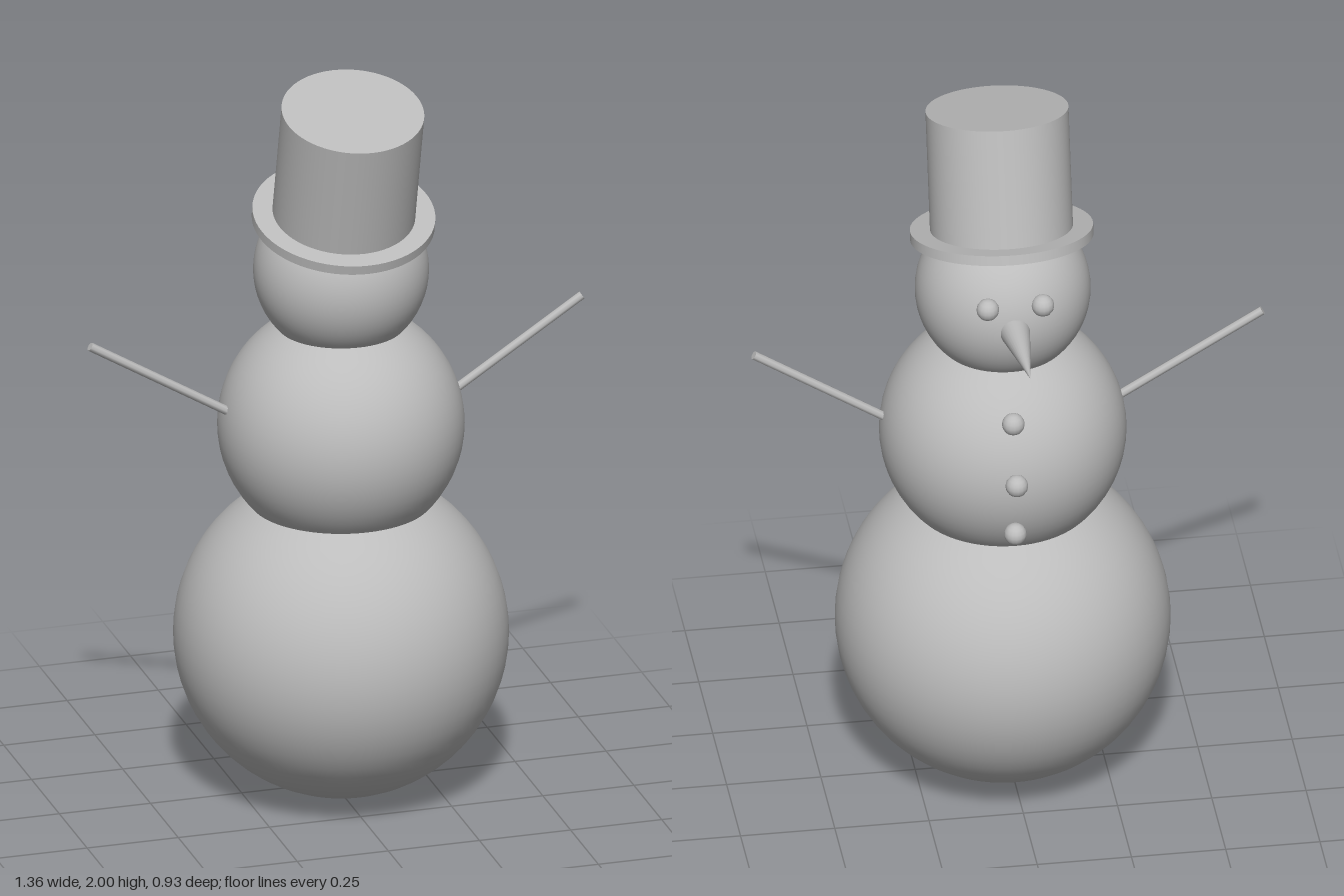
import * as THREE from 'three';

export function createModel() {
  const model = new THREE.Group();
  model.name = 'snowman';
  const grey = new THREE.MeshStandardMaterial({ color: 0xbcbcbc });
  grey.name = 'plain grey';
  const CX = 0.013, CZ = 0.032; // shared axis of the body

  function add(name, geometry, parent = model) {
    const mesh = new THREE.Mesh(geometry, grey);
    mesh.name = name;
    parent.add(mesh);
    return mesh;
  }

  function ball(name, r, x, y, z, segments = 64) {
    add(name, new THREE.SphereGeometry(r, segments, segments / 2)).position.set(x, y, z);
  }

  // Tapered rod running from one point to another
  function rod(name, from, to, r0, r1, sides) {
    const a = new THREE.Vector3(...from), b = new THREE.Vector3(...to);
    const dir = b.clone().sub(a);
    const mesh = add(name, new THREE.CylinderGeometry(r1, r0, dir.length(), sides));
    mesh.position.copy(a).add(b).multiplyScalar(0.5);
    mesh.quaternion.setFromUnitVectors(new THREE.Vector3(0, 1, 0), dir.normalize());
  }

  // Three snowballs
  ball('lowerBody', 0.441, CX, 0.442, CZ);
  ball('upperBody', 0.325, CX, 1.031, CZ - 0.001);
  ball('head', 0.231, CX, 1.467, CZ);

  // Face, on the -z side
  for (const side of [-1, 1]) ball(side < 0 ? 'rightEye' : 'leftEye', 0.03, CX - 0.002 + side * 0.073, 1.54, -0.182, 16);
  rod('nose', [CX, 1.47, -0.197], [0.011, 1.492, -0.457], 0.039, 0, 24);

  // Buttons
  for (const [y, z] of [[1.223, -0.254], [1.07, -0.317], [0.903, -0.29]]) ball('button', 0.03, 0.027, y, z, 16);

  // Stick arms
  rod('rightArm', [-0.28, 1.09, 0.034], [-0.676, 1.328, 0.034], 0.012, 0.012, 8);
  rod('leftArm', [0.31, 1.08, 0.034], [0.673, 1.315, 0.034], 0.012, 0.012, 8);

  // Top hat, tipped away from the face
  const hat = new THREE.Group();
  hat.name = 'hat';
  hat.position.set(0.012, 1.624, 0.058);
  hat.rotation.x = 0.25;
  model.add(hat);
  add('brim', new THREE.CylinderGeometry(0.241, 0.241, 0.027, 64), hat);
  add('crown', new THREE.CylinderGeometry(0.188, 0.188, 0.341, 64), hat).position.y = 0.1705;

  return model;
}
